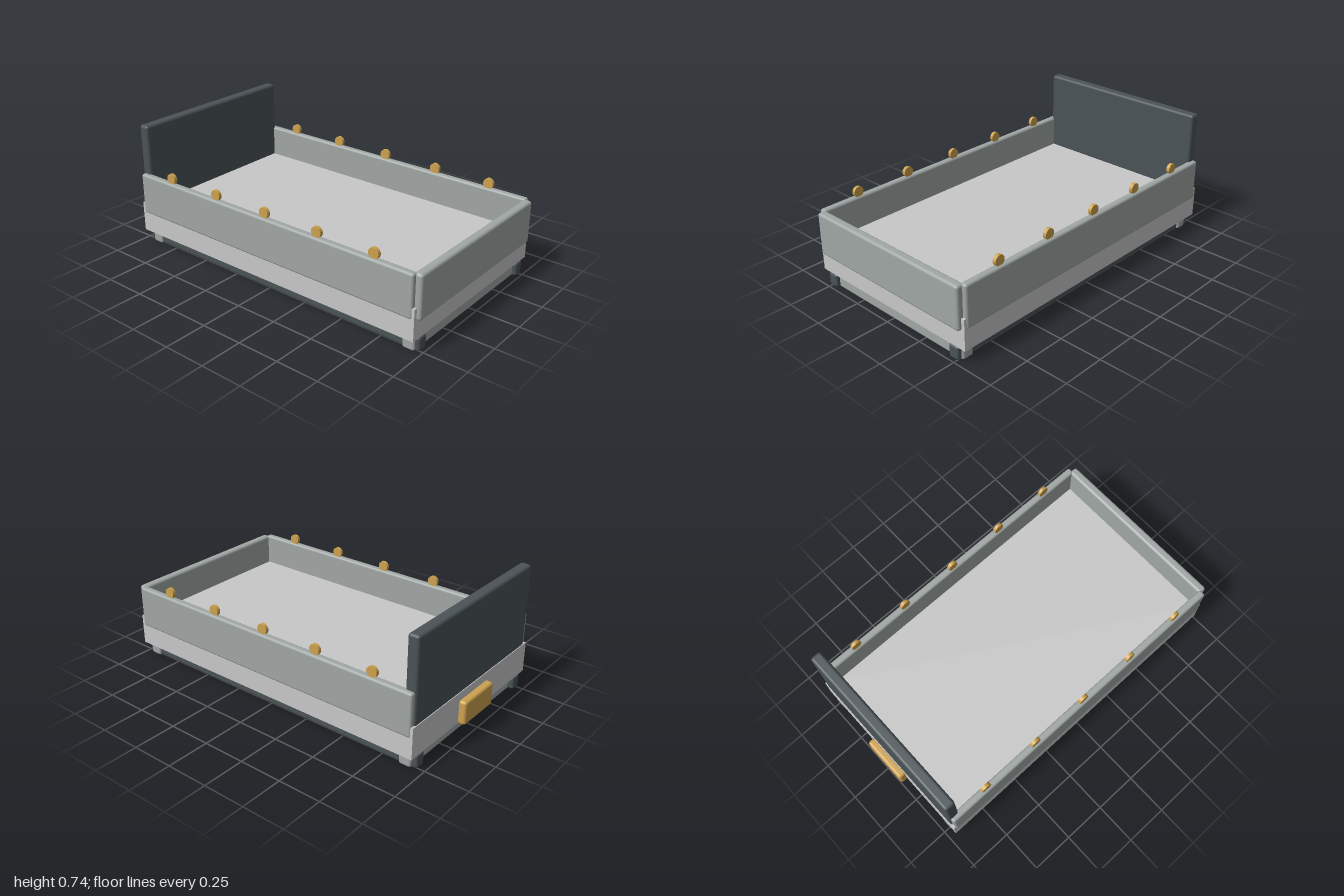
import * as THREE from 'three';
import { RoundedBoxGeometry } from 'three/addons/geometries/RoundedBoxGeometry.js';

const mat = (name, color) => {
  const m = new THREE.MeshStandardMaterial({ color });
  m.name = name;
  return m;
};

export function createModel() {
  const group = new THREE.Group();
  const charcoal = mat('charcoal', 0x4a5356);
  const grey = mat('grey', 0xa0a7a5);
  const pale = mat('pale grey', 0xc8c8c8);
  const gold = mat('gold', 0xcda24f);

  const add = (name, geometry, material, x, y, z) => {
    const mesh = new THREE.Mesh(geometry, material);
    mesh.name = name;
    mesh.position.set(x, y, z);
    group.add(mesh);
    return mesh;
  };
  // Box given by its limits on each axis; r > 0 rounds the edges
  const block = (name, material, [x0, x1], [y0, y1], [z0, z1], r = 0) => {
    const size = [x1 - x0, y1 - y0, z1 - z0];
    const geometry = r ? new RoundedBoxGeometry(...size, 3, r) : new THREE.BoxGeometry(...size);
    return add(name, geometry, material, (x0 + x1) / 2, (y0 + y1) / 2, (z0 + z1) / 2);
  };

  // Bed floor
  block('floorSlab', pale, [-0.56, 0.56], [0.08, 0.26], [-0.96, 0.978]);

  // End panels
  block('frontPanel', grey, [-0.54, 0.54], [0.19, 0.442], [0.948, 1], 0.016);
  block('tallEndPanel', charcoal, [-0.54, 0.54], [0.25, 0.74], [-0.957, -0.892], 0.016);

  // Rear handle
  block('rearHandle', gold, [-0.14, 0.14], [0.075, 0.213], [-1, -0.95], 0.016);

  // Lower frame: cross rails pass through the long rails at the corners
  for (const z of [0.925, -0.895])
    block('crossRail', grey, [-0.526, 0.526], [0, 0.082], [z - 0.036, z + 0.036], 0.014);

  const discGeometry = new THREE.CylinderGeometry(0.031, 0.031, 0.02, 24).rotateZ(Math.PI / 2);
  for (const s of [-1, 1]) {
    const sx = s * 0.482;
    block('longRail', charcoal, [sx - 0.033, sx + 0.033], [0.003, 0.083], [-0.963, 0.985], 0.014);

    // Side walls
    const wx = s * 0.5435;
    block('sideWall', grey, [wx - 0.0215, wx + 0.0215], [0.198, 0.445], [-0.948, 0.965], 0.014);

    // Row of discs along the wall top
    for (let i = 0; i < 5; i++)
      add('railDisc', discGeometry, gold, s * 0.541, 0.47, 0.725 - i * 0.357);
  }
  return group;
}
